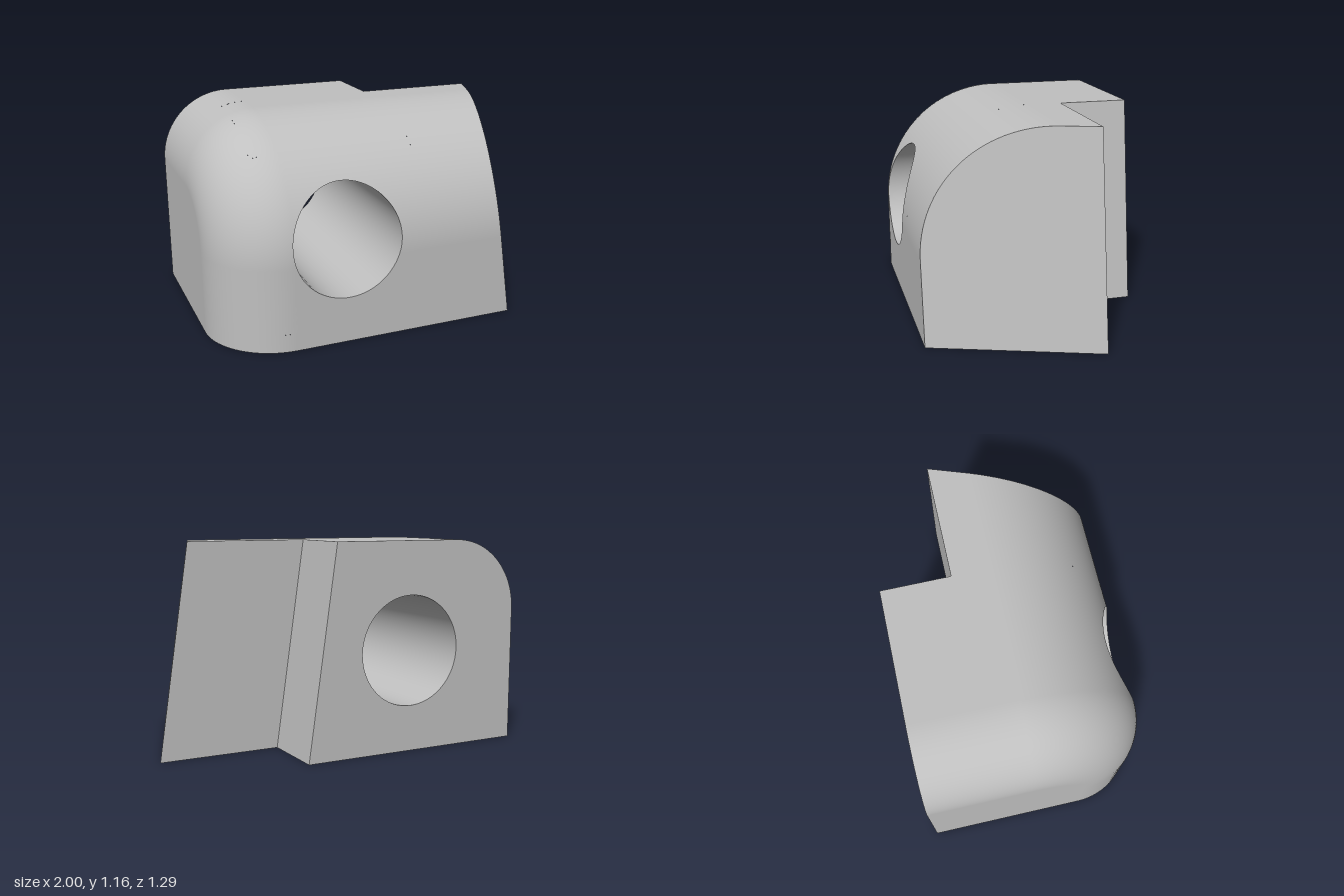
import * as THREE from 'three';
import { mergeGeometries } from 'three/addons/utils/BufferGeometryUtils.js';

const H = 1.16, BACK = -0.645, STEP = -0.255;   // height, back plane, notch plane
const R = 0.7, CZ = -0.055, CY = 0.46;          // big front-top round
const F = 0.4, FX = -0.6;                       // fillet round the left end
const HX = -0.305, HY = 0.56, HR = 0.305;       // through hole
const HALF = Math.PI / 2;
const P0 = -F * HALF, Q0 = -CY, Q1 = HALF + CZ - STEP, Q2 = HALF + CZ - BACK;

// Skin point and normal: p runs along x (negative on the fillet),
// q runs up the front (< 0), over the round (0..PI/2) and back along the top.
function skinPoint(p, q) {
  const phi = Math.max(0, -p / F);
  const x = p >= 0 ? FX + p : FX - F * Math.sin(phi);
  const r = R - F * (1 - Math.cos(phi));
  const a = THREE.MathUtils.clamp(q, 0, HALF);
  const y = CY + r * Math.sin(a) + Math.min(q, 0);
  const z = CZ + r * Math.cos(a) - Math.max(q - HALF, 0);
  const c = Math.cos(phi);
  return {
    pos: new THREE.Vector3(x, y, z),
    normal: new THREE.Vector3(-Math.sin(phi), c * Math.sin(a), c * Math.cos(a)),
  };
}

// Slanted right end
const endX = (y, z) => 1 - 0.147 * y - 0.3556 * (z - STEP);
const notchX = (y) => 0.32 - 0.142 * y;

// Grid of points over u, v in 0..1
function grid(fn, nu, nv) {
  const pos = [], nor = [], idx = [];
  for (let j = 0; j <= nv; j++) {
    for (let i = 0; i <= nu; i++) {
      const s = fn(i / nu, j / nv);
      pos.push(...s.pos);
      nor.push(...s.normal);
      if (i < nu && j < nv) {
        const a = j * (nu + 1) + i, b = a + nu + 1;
        idx.push(a, a + 1, b + 1, a, b + 1, b);
      }
    }
  }
  const g = new THREE.BufferGeometry();
  g.setAttribute('position', new THREE.Float32BufferAttribute(pos, 3));
  g.setAttribute('normal', new THREE.Float32BufferAttribute(nor, 3));
  g.setIndex(idx);
  return g;
}

// Planar face from a loop of points, facing the given direction
function face(loop, axes, out, hole = []) {
  const flat = (v) => new THREE.Vector2(v[axes[0]], v[axes[1]]);
  const tris = THREE.ShapeUtils.triangulateShape(loop.map(flat), hole.length ? [hole.map(flat)] : []);
  const pts = [...loop, ...hole];
  const sum = new THREE.Vector3();
  for (const [a, b, c] of tris) {
    sum.add(pts[b].clone().sub(pts[a]).cross(pts[c].clone().sub(pts[a])));
  }
  const flip = sum.dot(out) < 0;
  const g = new THREE.BufferGeometry().setFromPoints(pts);
  g.setIndex(tris.flatMap(([a, b, c]) => (flip ? [a, c, b] : [a, b, c])));
  const n = g.toNonIndexed();
  n.computeVertexNormals();
  return n;
}

const V = (x, y, z) => new THREE.Vector3(x, y, z);
const lerp = THREE.MathUtils.lerp;
const range = (a, b, n) => Array.from({ length: n + 1 }, (_, i) => lerp(a, b, i / n));

// Point of the hole's rim on the front skin
function rim(t) {
  const x = HX + HR * Math.cos(t), y = HY + HR * Math.sin(t);
  const phi = x < FX ? Math.asin((FX - x) / F) : 0;
  const r = R - F * (1 - Math.cos(phi));
  return { p: x < FX ? -F * phi : x - FX, q: y > CY ? Math.asin((y - CY) / r) : y - CY };
}

export function createModel() {
  const model = new THREE.Group();
  model.name = 'bracketBlock';
  const grey = new THREE.MeshStandardMaterial({ color: 0xc0c0c0 });
  grey.name = 'plain grey';
  const add = (name, geometry) => {
    const mesh = new THREE.Mesh(geometry, grey);
    mesh.name = name;
    model.add(mesh);
  };

  // Rounded front and top skin, with a frame of patches round the hole
  const pa = -0.15, pb = 0.75, qa = -0.36, qb = 0.9;
  const patch = (p0, p1, q0, q1, nu, nv) =>
    grid((u, v) => skinPoint(lerp(p0, p1, u), lerp(q0, q1, v)), nu, nv);
  const parts = [
    patch(pa, pb, Q0, qa, 24, 2),
    patch(pa, pb, qb, HALF, 24, 16),
    patch(pa, pb, HALF, Q1, 24, 1),
    patch(P0, 0, Q1, Q2, 24, 1),
    patch(0, notchX(H) - FX, Q1, Q2, 1, 1),
  ];
  const endP = (q) => {
    const { pos } = skinPoint(1, q);
    return endX(pos.y, pos.z) - FX;
  };
  for (const [q0, q1, n] of [[Q0, 0, 8], [0, HALF, 32], [HALF, Q1, 1]]) {
    parts.push(patch(P0, pa, q0, q1, 20, n));
    parts.push(grid((u, v) => {
      const q = lerp(q0, q1, v);
      return skinPoint(lerp(pb, endP(q), u), q);
    }, 4, n));
  }
  parts.push(grid((u, v) => {
    const t = u * Math.PI * 2, c = Math.cos(t), s = Math.sin(t);
    const m = Math.max(Math.abs(c), Math.abs(s));
    const inner = rim(t);
    const p = (pa + pb) / 2 + ((pb - pa) / 2) * (c / m);
    const q = (qa + qb) / 2 + ((qb - qa) / 2) * (s / m);
    return skinPoint(lerp(p, inner.p, v), lerp(q, inner.q, v));
  }, 96, 20));
  add('roundedSkin', mergeGeometries(parts));

  // Wall of the through hole
  add('holeWall', grid((u, v) => {
    const t = u * Math.PI * 2, { p, q } = rim(t);
    const pos = skinPoint(p, q).pos;
    pos.z = lerp(pos.z, BACK, v);
    return { pos, normal: V(-Math.cos(t), -Math.sin(t), 0) };
  }, 96, 1));

  // Flat faces
  const arc = range(0, HALF, 32);
  const bend = range(P0, 0, 24);
  const at = (p, q) => skinPoint(p, q).pos;

  add('leftFace', face(
    [at(P0, Q0), ...arc.map((q) => at(P0, q)), at(P0, Q2), V(-1, 0, BACK)],
    ['z', 'y'], V(-1, 0, 0)));

  add('rightSlantedFace', face(
    [Q0, ...arc, Q1].map((q) => at(endP(q), q)).concat([V(1, 0, STEP)]),
    ['z', 'y'], V(1, 0, 0)));

  const holeLoop = range(0, Math.PI * 2, 96).slice(0, -1)
    .map((t) => V(HX + HR * Math.cos(t), HY + HR * Math.sin(t), BACK));
  add('backFace', face(
    [...bend.map((p) => at(p, Q2)), V(notchX(H), H, BACK), V(notchX(0), 0, BACK), V(-1, 0, BACK)],
    ['x', 'y'], V(0, 0, -1), holeLoop));

  add('notchBackFace', face(
    [V(notchX(0), 0, STEP), V(1, 0, STEP), V(endX(H, STEP), H, STEP), V(notchX(H), H, STEP)],
    ['x', 'y'], V(0, 0, -1)));

  add('notchSideFace', face(
    [V(notchX(0), 0, BACK), V(notchX(0), 0, STEP), V(notchX(H), H, STEP), V(notchX(H), H, BACK)],
    ['z', 'y'], V(1, 0, 0)));

  add('bottomFace', face(
    [...bend.map((p) => at(p, Q0)), at(endP(Q0), Q0), V(1, 0, STEP),
      V(notchX(0), 0, STEP), V(notchX(0), 0, BACK), V(-1, 0, BACK)],
    ['x', 'z'], V(0, -1, 0)));

  return model;
}
